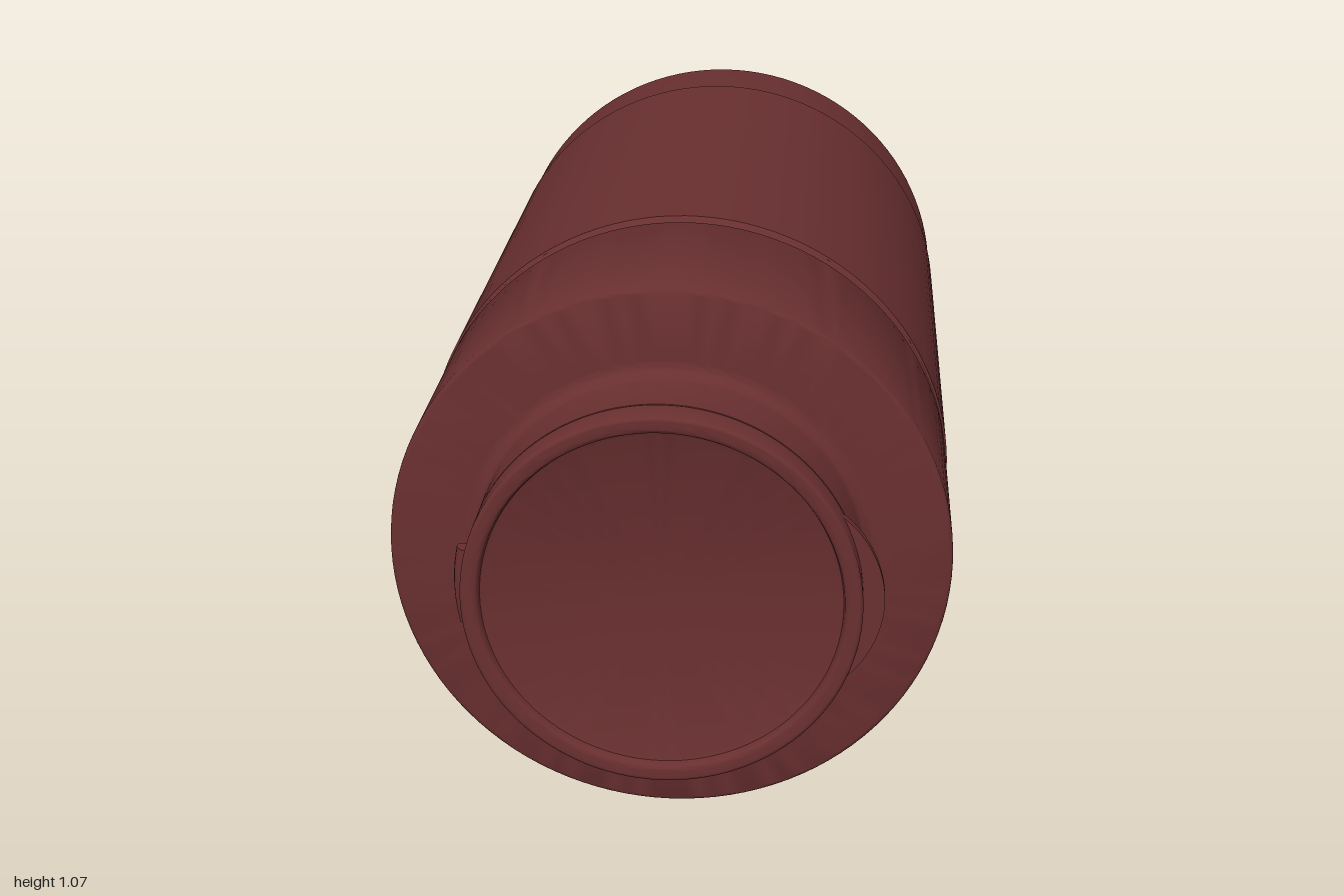
import * as THREE from 'three';
import { toCreasedNormals } from 'three/addons/utils/BufferGeometryUtils.js';

const R = 0.532; // outer radius of the container

export function createModel() {
  const model = new THREE.Group();
  model.name = 'container';
  const maroon = new THREE.MeshStandardMaterial({ color: 0x692f30 });
  maroon.name = 'maroon';

  // everything is placed around the z axis, then lifted to stand on y = 0
  const add = (name, geometry) => {
    const mesh = new THREE.Mesh(geometry, maroon);
    mesh.name = name;
    mesh.position.y = 0.536;
    model.add(mesh);
    return mesh;
  };

  // points of an arc in (radius, z), angles in degrees
  const arc = (cr, cz, rad, from, to, steps = 8) =>
    Array.from({ length: steps + 1 }, (_, i) => {
      const a = THREE.MathUtils.degToRad(from + ((to - from) * i) / steps);
      return [cr + rad * Math.cos(a), cz + rad * Math.sin(a)];
    });

  // profile of [radius, z] turned around z, from the back to the front
  const turn = (profile) => {
    const pts = profile.map(([r, z]) => new THREE.Vector2(Math.max(r, 0), z));
    return toCreasedNormals(new THREE.LatheGeometry(pts, 112).rotateX(Math.PI / 2), 0.6);
  };

  // main body with a dished base and a rounded rim
  const dish = Array.from({ length: 11 }, (_, i) => {
    const r = 0.04 * i;
    return [r, -0.915 - 0.06 * (r / 0.4) ** 2];
  });
  add('body', turn([
    ...dish,
    [0.425, -0.986], [0.448, -0.996],
    ...arc(R - 0.062, -0.938, 0.062, -90, 0, 10),
    ...arc(R - 0.01, 0.362, 0.01, 0, 90, 4),
    [0.5, 0.372],
  ]));

  // slightly raised sleeve around the body
  add('sleeve', turn([[R - 0.002, -0.754], [0.5355, -0.75], [0.5355, 0.352], [R - 0.002, 0.358]]));

  // small dome in the middle of the base
  add('baseButton', turn([[0, -0.94], [0.02, -0.938], [0.04, -0.931], [0.053, -0.92], [0.056, -0.905]]));

  // recessed seam between body and collar
  add('seam', turn([[R - 0.012, 0.365], [R - 0.012, 0.385]]));

  // collar with a fillet up to the neck
  add('collar', turn([
    [0.5, 0.378],
    ...arc(R - 0.008, 0.386, 0.008, -90, 0, 4),
    ...arc(R - 0.01, 0.786, 0.01, 0, 90, 4),
    ...arc(0.395, 0.826, 0.03, 270, 180, 8),
    [0.365, 0.936], [0.361, 0.938],
  ]));

  // flip lid with a softly rounded lip and a recessed disc
  add('lid', turn([
    [0.361, 0.938], [0.365, 0.94],
    ...arc(0.357, 0.992, 0.008, 0, 90, 5),
    [0.345, 0.999],
    ...arc(0.342, 0.989, 0.01, 90, 180, 5),
    [0.33, 0.983], [0.322, 0.98], [0, 0.98],
  ]));

  // thumb tab on the left edge of the lid
  const tabShape = new THREE.Shape();
  tabShape.moveTo(0.3, -0.175);
  tabShape.lineTo(0.328, -0.163);
  tabShape.bezierCurveTo(0.375, -0.125, 0.404, -0.06, 0.404, 0);
  tabShape.bezierCurveTo(0.404, 0.06, 0.375, 0.125, 0.328, 0.163);
  tabShape.lineTo(0.3, 0.175);
  const tab = new THREE.ExtrudeGeometry(tabShape, { depth: 0.016, bevelEnabled: false, curveSegments: 16 });
  add('thumbTab', toCreasedNormals(tab.translate(0, 0, 0.941), 0.6));

  // curved hinge barrel on the right edge of the lid, closed by small end caps
  const hingePoint = (a) => new THREE.Vector3(-0.37 * Math.cos(a), 0.37 * Math.sin(a), 0.934);
  const hingeCurve = new THREE.CatmullRomCurve3([-0.2, -0.1, 0, 0.1, 0.2].map(hingePoint));
  add('hinge', new THREE.TubeGeometry(hingeCurve, 16, 0.015, 12));
  for (const a of [-0.2, 0.2]) {
    const cap = add('hingeEnd', new THREE.CircleGeometry(0.015, 12).rotateX(a < 0 ? Math.PI / 2 : -Math.PI / 2));
    cap.rotation.z = -a;
    cap.position.add(hingePoint(a));
  }

  return model;
}
